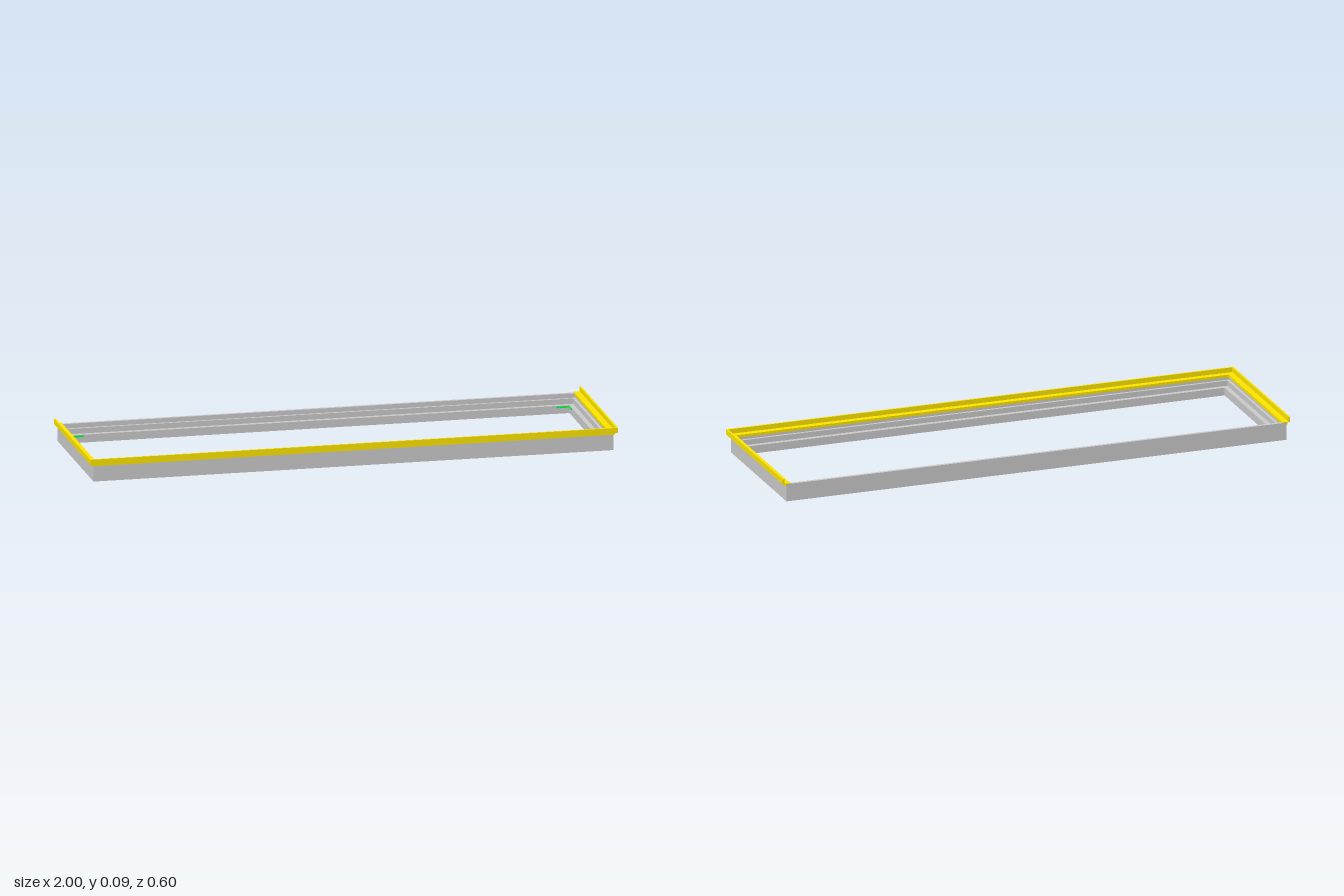
import * as THREE from 'three';

const X = 0.985, FRONT = 0.285, BACK = -0.3;

// Sweeps an outline of [inset, height] points along mitred corners.
// closed: all four sides; otherwise left, front and right with capped ends.
function sweep(outline, closed) {
  const corners = (d) => {
    const zb = closed ? BACK + d : BACK;
    return [[-X + d, zb], [-X + d, FRONT - d], [X - d, FRONT - d], [X - d, zb]];
  };
  const at = (c, j) => {
    const [d, y] = outline[j % outline.length];
    const [x, z] = corners(d)[c % 4];
    return [x, y, z];
  };
  const pos = [];
  const tri = (a, b, c) => pos.push(...a, ...b, ...c);
  for (let c = 0; c < (closed ? 4 : 3); c++) {
    for (let j = 0; j < outline.length; j++) {
      const p = at(c, j), q = at(c, j + 1), r = at(c + 1, j + 1), s = at(c + 1, j);
      tri(p, q, r);
      tri(p, r, s);
    }
  }
  if (!closed) {
    const pts = outline.map(([d, y]) => new THREE.Vector2(d, y));
    for (const [i, j, k] of THREE.ShapeUtils.triangulateShape(pts, [])) {
      tri(at(0, k), at(0, j), at(0, i));
      tri(at(3, i), at(3, j), at(3, k));
    }
  }
  const g = new THREE.BufferGeometry();
  g.setAttribute('position', new THREE.Float32BufferAttribute(pos, 3));
  g.computeVertexNormals();
  return g;
}

export function createModel() {
  const model = new THREE.Group();
  model.name = 'steppedFrame';
  const grey = new THREE.MeshStandardMaterial({ color: 0xcccccc });
  const yellow = new THREE.MeshStandardMaterial({ color: 0xffe600 });
  const green = new THREE.MeshStandardMaterial({ color: 0x00ff40 });
  const add = (name, geometry, material, x = 0, y = 0, z = 0) => {
    const mesh = new THREE.Mesh(geometry, material);
    mesh.name = name;
    mesh.position.set(x, y, z);
    model.add(mesh);
  };

  // Rectangular frame, stepping down towards the opening
  add('frame', sweep([
    [0, 0], [0.04, 0], [0.04, 0.03], [0.022, 0.03],
    [0.022, 0.05], [0.012, 0.05], [0.012, 0.067], [0, 0.067],
  ], true), grey);

  // Raised lip on three sides, open at the back
  add('edgeTrim', sweep([
    [-0.015, 0.068], [-0.005, 0.068], [-0.005, 0.06], [0.015, 0.06],
    [0.015, 0.07], [-0.008, 0.07], [-0.008, 0.088], [-0.015, 0.088],
  ], false), yellow);

  // Small strips in the corners of the opening
  for (const side of [-1, 1]) {
    add('cornerStripBack', new THREE.BoxGeometry(0.05, 0.006, 0.004), green, side * 0.92, 0.025, BACK + 0.041);
  }
  for (const z of [-0.24, 0.22]) {
    add('cornerStripSide', new THREE.BoxGeometry(0.004, 0.006, 0.04), green, 0.944, 0.025, z);
  }
  return model;
}
